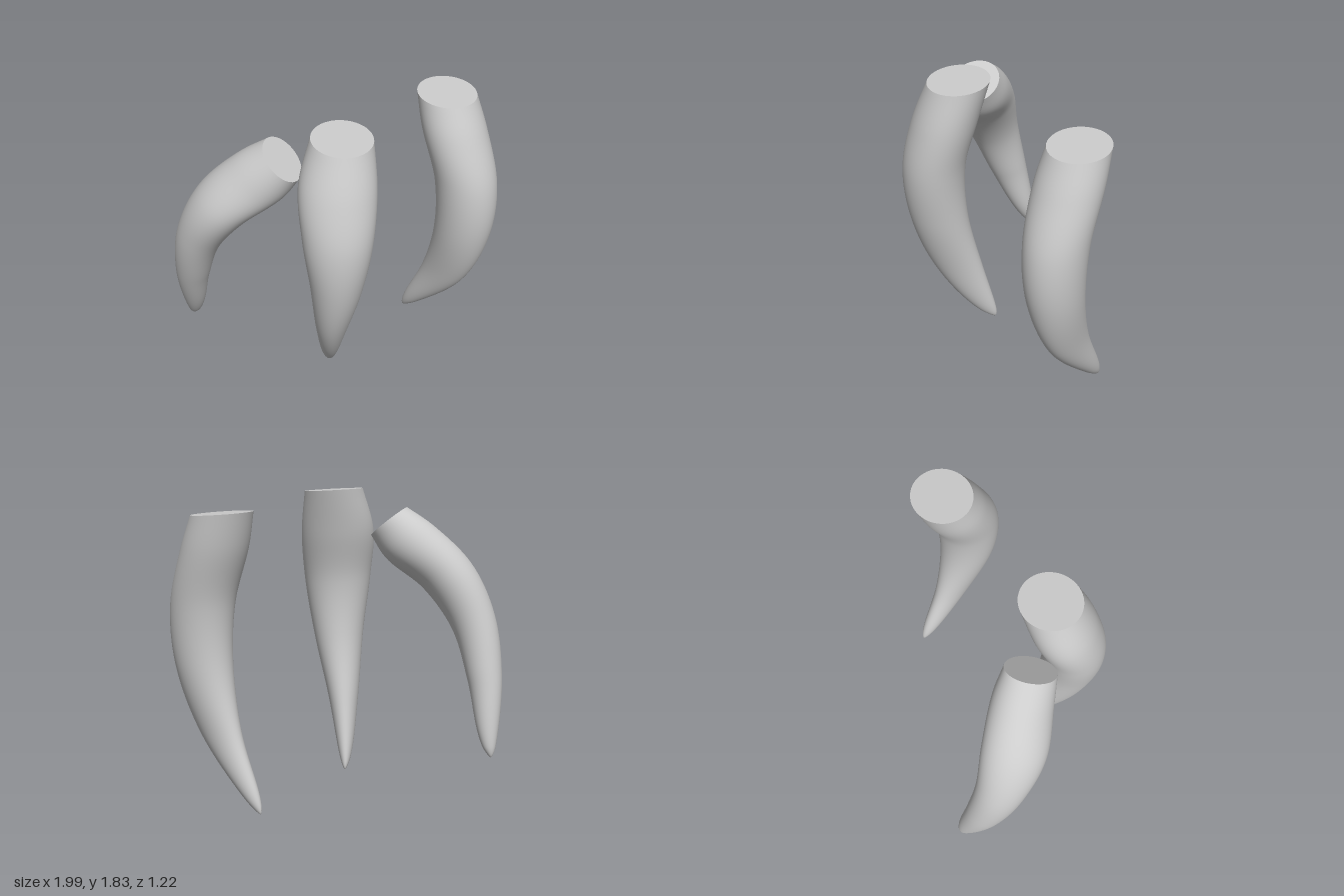
import * as THREE from 'three';

const SIDES = 48, STEPS = 72;
const { degToRad } = THREE.MathUtils;

// A section is [centre x, y, z, radius in the bending plane, radius across it].
// Strongly curved horn, leaning sideways
const rightHorn = {
  name: 'rightHorn', yaw: 0, tilt: -38, roll: -0.2,
  sections: [
    [-0.295, 1.635, 0.195, 0.14, 0.155],
    [-0.425, 1.51, 0.17, 0.178, 0.18],
    [-0.66, 1.3, 0.15, 0.167, 0.194],
    [-0.818, 1.03, 0.095, 0.138, 0.155],
    [-0.89, 0.7, 0.005, 0.107, 0.118],
    [-0.917, 0.3, -0.128, 0.041, 0.043],
    [-0.928, 0.237, -0.152, 0, 0],
  ],
};

// Upright horn, tip swept to the back
const middleHorn = {
  name: 'middleHorn', yaw: 90, tilt: -4, roll: 0.055,
  sections: [
    [0.05, 1.822, 0.265, 0.185, 0.18],
    [0.03, 1.55, 0.353, 0.199, 0.226],
    [0.033, 1.25, 0.422, 0.19, 0.208],
    [0.025, 0.9, 0.403, 0.176, 0.157],
    [-0.01, 0.5, 0.293, 0.148, 0.094],
    [-0.03, 0.15, 0.12, 0.063, 0.034],
    [-0.03, 0.08, 0.065, 0, 0],
  ],
};

// Upright horn, bending diagonally
const leftHorn = {
  name: 'leftHorn', yaw: 39, tilt: -5, roll: 0,
  sections: [
    [0.655, 1.753, -0.425, 0.182, 0.182],
    [0.706, 1.55, -0.377, 0.201, 0.199],
    [0.793, 1.2, -0.312, 0.2, 0.184],
    [0.791, 0.85, -0.315, 0.187, 0.158],
    [0.69, 0.45, -0.396, 0.155, 0.093],
    [0.49, 0.09, -0.552, 0.06, 0.038],
    [0.438, 0.005, -0.592, 0, 0],
  ],
};

// Rings along a smooth spline; radii are interpolated as powers so the tip ends round.
function hornRings({ yaw, tilt, roll, sections }) {
  const centres = sections.map(([x, y, z]) => new THREE.Vector3(x, y, z));
  const along = [0];
  for (let i = 1; i < centres.length; i++) along.push(along[i - 1] + centres[i].distanceTo(centres[i - 1]));
  const values = sections.flatMap(([x, y, z, a, b]) => [x, y, z, a ** 1.5, b ** 1.5]);
  const spline = new THREE.CubicInterpolant(along, values, 5);

  const c = Math.cos(degToRad(yaw)), s = Math.sin(degToRad(yaw));
  const across = new THREE.Vector3(-s, roll, c).normalize();
  const rings = [];
  for (let i = 0; i <= STEPS; i++) {
    const f = 1 - (1 - i / STEPS) ** 1.5; // finer towards the tip
    const [x, y, z, a, b] = spline.evaluate(f * along.at(-1));
    const lean = degToRad(tilt * (1 - f)); // sections level out towards the tip
    const inPlane = new THREE.Vector3(c * Math.cos(lean), Math.sin(lean), s * Math.cos(lean));
    const ra = Math.max(a, 0) ** (2 / 3), rb = Math.max(b, 0) ** (2 / 3);
    const ring = [];
    for (let j = 0; j < SIDES; j++) {
      const angle = (j / SIDES) * Math.PI * 2;
      ring.push(new THREE.Vector3(x, y, z)
        .addScaledVector(inPlane, ra * Math.cos(angle))
        .addScaledVector(across, rb * Math.sin(angle)));
    }
    rings.push(ring);
  }
  return rings;
}

function toMesh(name, points, index, material) {
  const geometry = new THREE.BufferGeometry().setFromPoints(points);
  geometry.setIndex(index);
  geometry.computeVertexNormals();
  const mesh = new THREE.Mesh(geometry, material);
  mesh.name = name;
  return mesh;
}

function buildHorn(spec, material) {
  const horn = new THREE.Group();
  horn.name = spec.name;
  const rings = hornRings(spec);

  // Curved, tapering body
  const body = [];
  for (let i = 0; i < STEPS; i++) {
    for (let j = 0; j < SIDES; j++) {
      const a = i * SIDES + j, b = i * SIDES + (j + 1) % SIDES;
      body.push(a, b, a + SIDES, b, b + SIDES, a + SIDES);
    }
  }
  horn.add(toMesh('hornBody', rings.flat(), body, material));

  // Flat cut at the root
  const cap = [];
  for (let j = 1; j < SIDES - 1; j++) cap.push(0, j + 1, j);
  horn.add(toMesh('hornRootCap', rings[0], cap, material));
  return horn;
}

export function createModel() {
  const model = new THREE.Group();
  model.name = 'hornSet';
  const material = new THREE.MeshStandardMaterial({ color: 0xcccccc });
  for (const spec of [rightHorn, middleHorn, leftHorn]) model.add(buildHorn(spec, material));
  return model;
}
